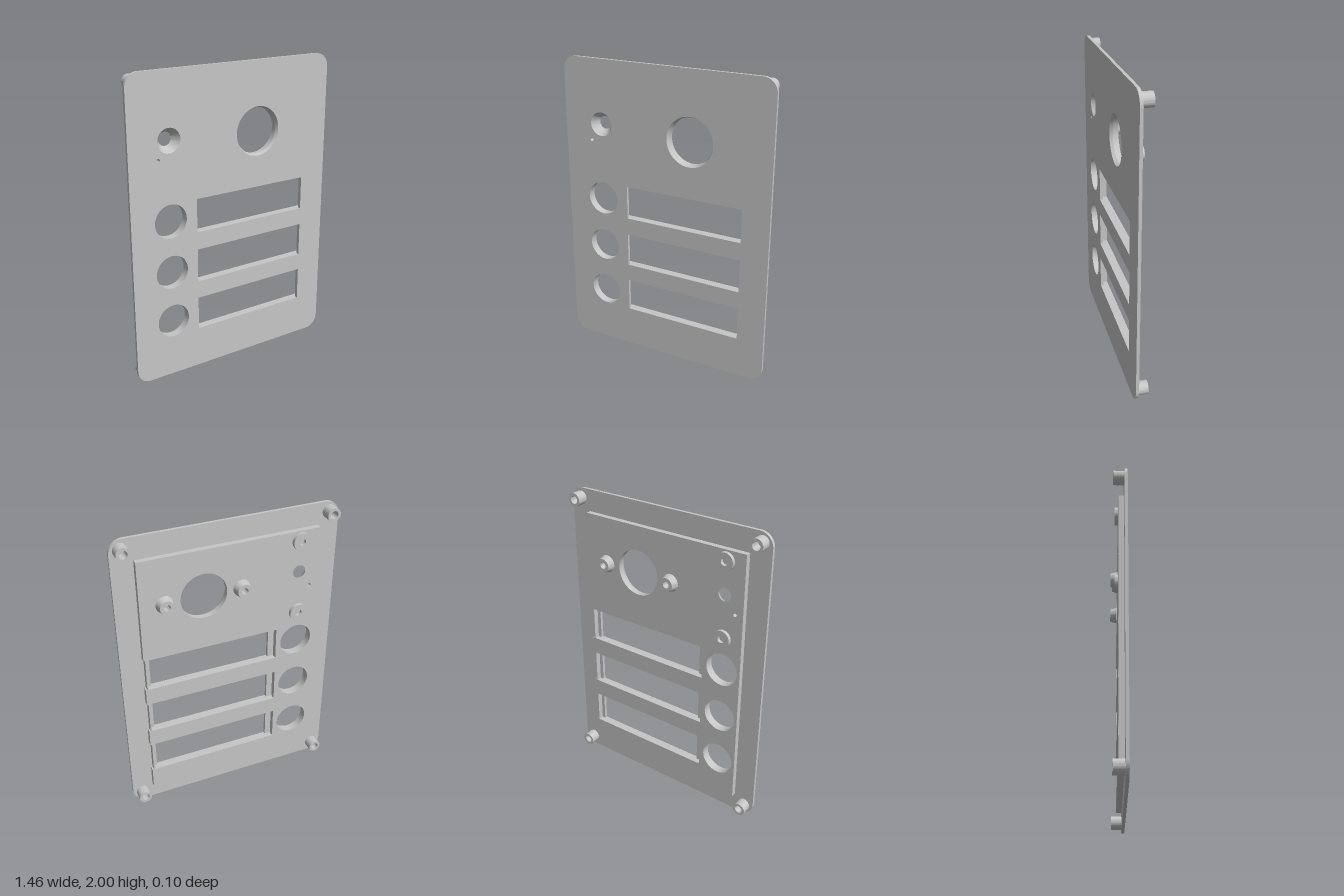
import * as THREE from 'three';
import { toCreasedNormals } from 'three/addons/utils/BufferGeometryUtils.js';

// Depth layers: front face, back of the cover plate, back of the inner slab
const FRONT = 0.051, MID = 0.031, BACK = -0.005;
const SLOTS = [[0.274, 0.498], [0.615, 0.84], [0.957, 1.18]];
const BUTTON_X = -0.46, BUTTON_R = 0.111;
const LENS = { x: 0.182, y: 1.549 };
const FUNNEL = { x: -0.459, y: 1.578 };

export function createModel() {
  const group = new THREE.Group();
  const grey = new THREE.MeshStandardMaterial({ color: 0xc6c6c6 });
  grey.name = 'plain grey';

  function add(name, geometry, x = 0, y = 0, z = 0) {
    const mesh = new THREE.Mesh(toCreasedNormals(geometry, 0.5), grey);
    mesh.name = name;
    mesh.position.set(x, y, z);
    group.add(mesh);
  }

  function circle(shape, x, y, r) {
    shape.holes.push(new THREE.Path().absarc(x, y, r, 0, Math.PI * 2, true));
  }

  // Round openings and label slots, cut through both layers
  function openings(shape, lensRadius, slotLeft, slotRight) {
    circle(shape, LENS.x, LENS.y, lensRadius);
    circle(shape, FUNNEL.x, FUNNEL.y, 0.078);
    circle(shape, -0.535, 1.467, 0.012);
    for (const [low, high] of SLOTS) {
      circle(shape, BUTTON_X, (low + high) / 2, BUTTON_R);
      shape.holes.push(new THREE.Path([
        new THREE.Vector2(slotLeft, low), new THREE.Vector2(slotLeft, high),
        new THREE.Vector2(slotRight, high), new THREE.Vector2(slotRight, low),
      ]));
    }
  }

  const extrude = (shape, depth) =>
    new THREE.ExtrudeGeometry(shape, { depth, bevelEnabled: false, curveSegments: 24 });

  // Turned part whose profile is [radius, distance towards the back]
  const turned = (profile) =>
    new THREE.LatheGeometry(profile.map(([r, h]) => new THREE.Vector2(r, h)), 48).rotateX(-Math.PI / 2);

  // Cover plate with rounded corners
  const w = 0.73, r = 0.09;
  const plate = new THREE.Shape();
  plate.absarc(w - r, r, r, -Math.PI / 2, 0, false);
  plate.absarc(w - r, 2 - r, r, 0, Math.PI / 2, false);
  plate.absarc(-w + r, 2 - r, r, Math.PI / 2, Math.PI, false);
  plate.absarc(-w + r, r, r, Math.PI, Math.PI * 1.5, false);
  plate.closePath();
  openings(plate, 0.16, -0.274, 0.545);
  add('coverPlate', extrude(plate, FRONT - MID), 0, 0, MID);

  // Inner slab, with wider label pockets and a thin set-back wall beside each
  const s = 0.59, wall = 0.58;
  const slab = new THREE.Shape();
  slab.moveTo(-s, 0.125);
  slab.lineTo(s, 0.125);
  for (const [low, high] of SLOTS) {
    slab.lineTo(s, low);
    slab.lineTo(wall, low);
    slab.lineTo(wall, high);
    slab.lineTo(s, high);
  }
  slab.lineTo(s, 1.857);
  slab.lineTo(-s, 1.857);
  slab.closePath();
  openings(slab, 0.151, -0.316, 0.57);
  add('innerSlab', extrude(slab, MID - BACK), 0, 0, BACK);

  // Sloped linings of the lens opening and the funnel opening
  add('lensBevel', turned([[0.16, -FRONT], [0.16, -MID], [0.151, -MID], [0.16, -FRONT]]), LENS.x, LENS.y);
  add('funnel', turned([[0.078, -FRONT], [0.078, -BACK], [0.043, -BACK], [0.078, -FRONT]]), FUNNEL.x, FUNNEL.y);

  // Hollow boss standing on the back of a layer
  const boss = (base, tip, bore, height) =>
    turned([[base, 0], [tip, height], [bore, height], [bore, 0.001], [0, 0.001]]);

  // Corner standoffs
  for (const x of [-0.662, 0.662]) {
    for (const y of [0.07, 1.935]) add('cornerStandoff', boss(0.044, 0.044, 0.026, 0.069), x, y, MID);
  }
  // Tapered bosses either side of the lens opening
  for (const dx of [-0.25, 0.25]) {
    add('lensBoss', boss(0.057, 0.045, 0.022, 0.046), LENS.x + dx, LENS.y, BACK);
  }
  // Low bosses above and below the funnel
  for (const y of [1.29, 1.79]) add('lowBoss', boss(0.057, 0.057, 0.023, 0.023), FUNNEL.x, y, BACK);

  return group;
}
